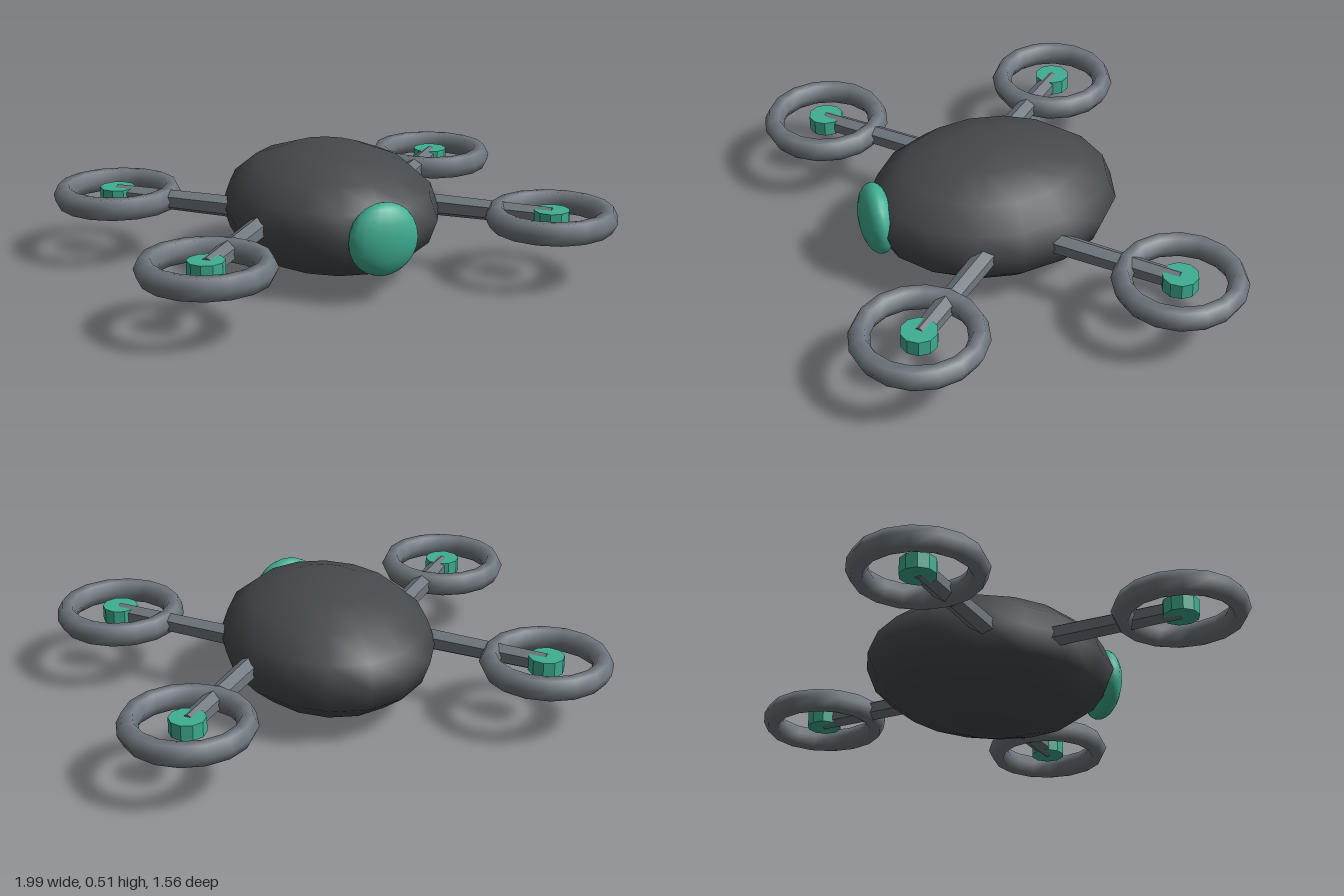
import * as THREE from 'three';

const mat = (name, color) => {
  const m = new THREE.MeshStandardMaterial({ color });
  m.name = name;
  return m;
};

// Facet a geometry without needing a second material
const faceted = (geometry) => {
  const g = geometry.toNonIndexed();
  g.computeVertexNormals();
  return g;
};

export function createModel() {
  const model = new THREE.Group();
  model.name = 'quadcopter';

  const shellGrey = mat('shellGrey', 0x46494d);
  const frameGrey = mat('frameGrey', 0x70787f);
  const accentGreen = mat('accentGreen', 0x3fae92);

  const add = (parent, name, geometry, material, x, y, z) => {
    const mesh = new THREE.Mesh(geometry, material);
    mesh.name = name;
    mesh.position.set(x, y, z);
    parent.add(mesh);
    return mesh;
  };

  const midY = 0.26;

  // Egg-shaped body
  const body = new THREE.SphereGeometry(1, 16, 8).scale(0.425, 0.256, 0.512);
  add(model, 'body', body, shellGrey, 0, midY, 0);

  // Camera lens on the nose
  const lens = new THREE.SphereGeometry(1, 16, 12).scale(0.146, 0.146, 0.07);
  add(model, 'lens', lens, accentGreen, 0, midY, 0.485);

  // Shared rotor parts
  const rotorX = 0.73, rotorZ = 0.515;
  const rootX = 0.28, rootZ = 0.055;
  const armLength = Math.hypot(rotorX - rootX, rotorZ - rootZ);
  const armGeo = faceted(new THREE.CylinderGeometry(0.04, 0.046, armLength, 6).rotateX(Math.PI / 2));
  const ringGeo = new THREE.TorusGeometry(0.223, 0.042, 6, 16).scale(1, 1, 1.17).rotateX(Math.PI / 2);
  const hubGeo = faceted(new THREE.CylinderGeometry(0.072, 0.072, 0.062, 10));

  // Four arms, each with a guard ring and motor hub
  for (const sx of [-1, 1]) {
    for (const sz of [-1, 1]) {
      const rotor = new THREE.Group();
      rotor.name = (sz > 0 ? 'front' : 'back') + (sx > 0 ? 'Left' : 'Right') + 'Rotor';
      const arm = add(rotor, 'arm', armGeo, frameGrey,
        sx * (rotorX + rootX) / 2, midY, sz * (rotorZ + rootZ) / 2);
      arm.rotation.y = Math.atan2(sx * (rotorX - rootX), sz * (rotorZ - rootZ));
      add(rotor, 'guardRing', ringGeo, frameGrey, sx * rotorX, midY, sz * rotorZ);
      add(rotor, 'motorHub', hubGeo, accentGreen, sx * rotorX, midY, sz * rotorZ);
      model.add(rotor);
    }
  }

  return model;
}
